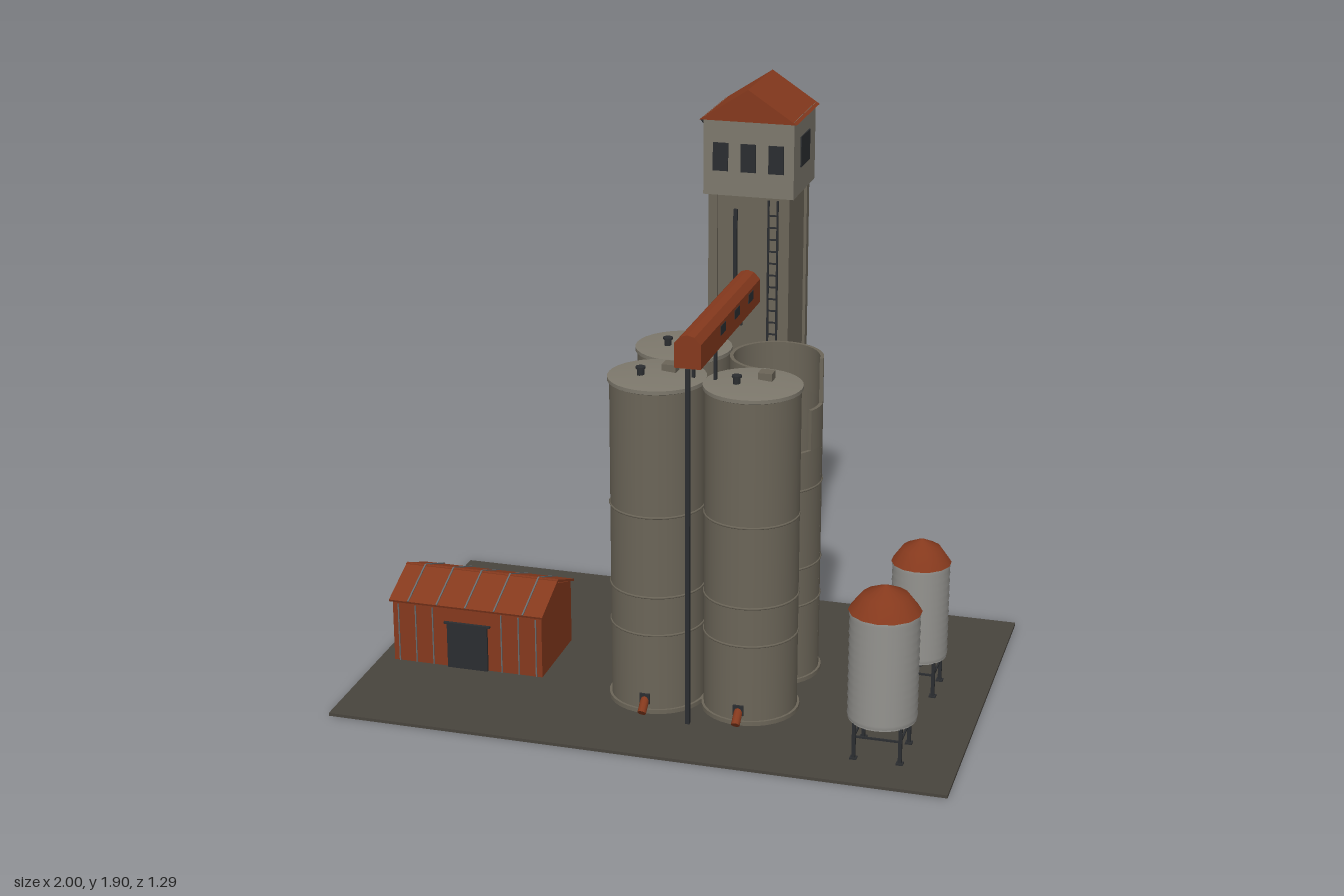
import * as THREE from 'three';
import { toCreasedNormals } from 'three/addons/utils/BufferGeometryUtils.js';

const mat = (color) => new THREE.MeshStandardMaterial({ color, side: THREE.DoubleSide });
const concrete = mat(0x6b6558), cap = mat(0x7d786c), rust = mat(0x85391d), steel = mat(0x94938f);
const dark = mat(0x2b2d30), soil = mat(0x48443d), seam = mat(0x666a6c);

function add(parent, name, geo, material, x = 0, y = 0, z = 0) {
  const m = new THREE.Mesh(geo, material);
  m.name = name;
  m.position.set(x, y, z);
  parent.add(m);
  return m;
}
const group = (parent, name, x = 0, y = 0, z = 0) => {
  const g = new THREE.Group();
  g.name = name;
  g.position.set(x, y, z);
  parent.add(g);
  return g;
};
const box = (p, name, m, w, h, d, x, y, z) => add(p, name, new THREE.BoxGeometry(w, h, d), m, x, y, z);
const cyl = (p, name, m, r, h, x, y, z, n = 12) => add(p, name, new THREE.CylinderGeometry(r, r, h, n), m, x, y, z);
const lathe = (pts, n) => toCreasedNormals(
  new THREE.LatheGeometry(pts.map(([r, y]) => new THREE.Vector2(r, y)), n), 0.6);
// Extrudes an outline in x/y along z, centred
function prism(pts, depth) {
  const geo = new THREE.ExtrudeGeometry(new THREE.Shape(pts.map(([x, y]) => new THREE.Vector2(x, y))),
    { depth, bevelEnabled: false });
  return geo.translate(0, 0, -depth / 2);
}
// Bar between two points
function bar(p, name, m, a, b, r, n = 8) {
  const A = new THREE.Vector3(...a), B = new THREE.Vector3(...b), d = B.clone().sub(A);
  const mesh = cyl(p, name, m, r, d.length(), ...A.add(B).multiplyScalar(0.5).toArray(), n);
  mesh.quaternion.setFromUnitVectors(new THREE.Vector3(0, 1, 0), d.normalize());
  return mesh;
}
// Thick curved wall between two angles (degrees, from +x towards -z)
function arcWall(r, t, a0, a1, y0, y1) {
  const s = new THREE.Shape(), rad = Math.PI / 180;
  s.absarc(0, 0, r, a0 * rad, a1 * rad, false);
  s.absarc(0, 0, r - t, a1 * rad, a0 * rad, true);
  const geo = new THREE.ExtrudeGeometry(s, { depth: y1 - y0, bevelEnabled: false, curveSegments: 32 });
  return toCreasedNormals(geo.rotateX(-Math.PI / 2).translate(0, y0, 0), 0.6);
}

const R = 0.15;
function silo(root, x, z, broken) {
  const g = group(root, broken ? 'brokenSilo' : 'silo', x, 0, z);
  add(g, 'siloFooting', new THREE.CylinderGeometry(0.158, 0.158, 0.024, 32), concrete, 0, 0.012, 0);
  for (const y of [0.28, 0.41, 0.68])
    add(g, 'siloBand', new THREE.TorusGeometry(R, 0.004, 6, 32).rotateX(Math.PI / 2), concrete, 0, y, 0);
  if (broken) {
    // Stepped gap facing front left
    add(g, 'siloWall', arcWall(R, 0.012, 0, 359.9, 0.01, 0.81), concrete);
    add(g, 'siloWallMiddle', arcWall(R, 0.012, -28, 265, 0.81, 0.945), concrete);
    add(g, 'siloWallTop', arcWall(R, 0.012, 4, 265, 0.945, 1.095), concrete);
    return;
  }
  add(g, 'siloWall', new THREE.CylinderGeometry(R, R, 1.085, 32, 1, true), concrete, 0, 0.5525, 0);
  add(g, 'siloLid', lathe([[R, 1.085], [0.156, 1.088], [0.156, 1.1], [0, 1.115]], 32), cap);
  box(g, 'lidHatch', concrete, 0.045, 0.03, 0.045, 0.035, 1.119, -0.03);
  cyl(g, 'lidVent', dark, 0.012, 0.03, -0.043, 1.118, 0.035);
  cyl(g, 'ventCap', dark, 0.016, 0.006, -0.043, 1.133, 0.035);
}

function storageBin(root, x, z, r, wallTop, top) {
  const g = group(root, 'storageBin', x, 0, z);
  // Corrugated wall
  const wall = [], rings = 12, y0 = 0.13, step = (wallTop - y0) / rings;
  for (let i = 0; i <= rings; i++) {
    wall.push([r * 0.965, y0 + i * step]);
    if (i < rings) wall.push([r, y0 + (i + 0.5) * step]);
  }
  add(g, 'binWall', new THREE.LatheGeometry(wall.map(([a, b]) => new THREE.Vector2(a, b)), 24), steel);
  add(g, 'binRoof', new THREE.LatheGeometry([[r * 1.03, wallTop - 0.004], [r * 0.66, wallTop + (top - wallTop) * 0.6],
    [r * 0.15, top - 0.006], [0, top]].map(([a, b]) => new THREE.Vector2(a, b)), 14), rust);
  add(g, 'binFloor', new THREE.CylinderGeometry(r * 0.97, r * 0.97, 0.006, 24), steel, 0, 0.131, 0);
  add(g, 'binHopper', new THREE.CylinderGeometry(r * 0.3, 0.014, 0.045, 12), dark, 0, 0.108, 0);
  // Legs with braces
  const q = r * 0.66;
  for (const s of [-1, 1]) {
    for (const t of [-1, 1]) {
      box(g, 'binLeg', dark, 0.011, 0.13, 0.011, s * q, 0.065, t * q);
      box(g, 'legFoot', dark, 0.022, 0.006, 0.022, s * q, 0.012, t * q);
    }
    box(g, 'legBrace', dark, 2 * q, 0.006, 0.006, 0, 0.085, s * q);
    box(g, 'legBrace', dark, 0.006, 0.006, 2 * q, s * q, 0.085, 0);
  }
}

function tower(root) {
  const g = group(root, 'elevatorTower', 0.122, 0, -0.457);
  box(g, 'towerShaft', concrete, 0.25, 1.55, 0.256, 0, 0.775, 0);
  for (const s of [-1, 1]) for (const t of [-1, 1])
    box(g, 'cornerPilaster', concrete, 0.03, 1.55, 0.03, s * 0.12, 0.775, t * 0.123);
  box(g, 'towerCabin', cap, 0.3, 0.255, 0.294, 0, 1.675, 0);
  // Gable roof with slight overhang
  add(g, 'cabinRoof', prism([[-0.16, 1.795], [0.16, 1.795], [0, 1.9]], 0.32), rust, 0, 0, -0.002);
  for (const s of [-1, 1]) {
    for (const x of [-0.092, 0, 0.092]) box(g, 'cabinWindow', dark, 0.05, 0.092, 0.012, x, 1.675, s * 0.147);
    box(g, 'cabinSideWindow', dark, 0.008, 0.1, 0.12, s * 0.15, 1.685, 0);
  }
  // Small tilted louvre on the right wall
  for (const z of [0.015, 0.045, 0.075])
    bar(g, 'brokenBracket', dark, [-0.15, 1.745, z], [-0.178, 1.778, z], 0.004);
  // Ladder up the front
  for (const x of [0.068, 0.098]) box(g, 'ladderRail', dark, 0.006, 1.53, 0.006, x, 0.775, 0.146);
  for (let y = 0.05; y < 1.52; y += 0.04) box(g, 'ladderRung', dark, 0.03, 0.005, 0.005, 0.083, y, 0.146);
  box(g, 'towerConduit', dark, 0.012, 0.4, 0.012, -0.045, 1.3, 0.134);
}

function gallery(root) {
  const g = group(root, 'conveyorGallery', 0.122, 0, 0.047);
  add(g, 'galleryBody', prism([[-0.042, 1.197], [0.042, 1.197], [0.042, 1.275], [0.022, 1.297],
    [0, 1.303], [-0.022, 1.297], [-0.042, 1.275]], 0.715), rust);
  for (const s of [-1, 1]) for (const z of [0.103, -0.067, -0.237])
    box(g, 'galleryWindow', dark, 0.006, 0.03, 0.06, s * 0.041, 1.25, z);
  // Front post and short roof struts
  box(g, 'galleryPost', dark, 0.014, 1.19, 0.014, 0, 0.6, 0.353);
  for (const s of [-1, 1]) {
    box(g, 'galleryStrut', dark, 0.01, 0.1, 0.01, s * 0.035, 1.15, 0.165);
    box(g, 'gallerySpout', dark, 0.012, 0.012, 0.012, s * 0.035, 1.192, -0.137);
  }
}

function shed(root) {
  const g = group(root, 'shed', -0.688, 0, 0.06);
  const gable = (w, y0, eave, ridge) => [[-w, y0], [w, y0], [w, eave], [0, ridge], [-w, eave]];
  add(g, 'shedBody', prism(gable(0.152, 0, 0.226, 0.284), 0.52).rotateY(Math.PI / 2), rust);
  const slope = Math.atan2(0.065, 0.165), len = Math.hypot(0.065, 0.165);
  for (const s of [-1, 1]) {
    const roof = group(g, 'roofSlope', 0, 0.26, s * 0.0825);
    roof.rotation.x = s * slope;
    box(roof, 'roofSheet', rust, 0.535, 0.008, len, 0, 0, 0);
    for (const x of [-0.2, -0.1, 0, 0.1, 0.2]) box(roof, 'roofSeam', seam, 0.005, 0.005, len, x, 0.005, 0);
  }
  box(g, 'roofRidge', rust, 0.535, 0.008, 0.014, 0, 0.292, 0);
  for (let i = 0; i < 9; i++) {
    const x = -0.24 + i * 0.06;
    if (Math.abs(x) > 0.08) box(g, 'wallSeam', seam, 0.004, 0.21, 0.005, x, 0.11, 0.153);
  }
  box(g, 'shedDoor', dark, 0.14, 0.16, 0.012, 0.002, 0.087, 0.155);
  box(g, 'doorTrack', dark, 0.16, 0.006, 0.014, 0.002, 0.169, 0.156);
}

export function createModel() {
  const root = new THREE.Group();
  root.name = 'grainElevator';
  box(root, 'ground', soil, 2, 0.01, 1.29, 0, 0.005, 0);
  for (const x of [-0.03, 0.278]) {
    silo(root, x, 0.213, false);
    silo(root, x, -0.09, x > 0);
    // Discharge chute at the foot of each front silo
    bar(root, 'siloChute', rust, [x, 0.063, 0.355], [x, 0.025, 0.4], 0.014, 10);
    box(root, 'chuteFlange', dark, 0.034, 0.034, 0.01, x, 0.06, 0.364);
  }
  tower(root);
  gallery(root);
  shed(root);
  storageBin(root, 0.75, 0.415, 0.11, 0.49, 0.57);
  storageBin(root, 0.77, -0.063, 0.094, 0.457, 0.532);
  return root;
}
